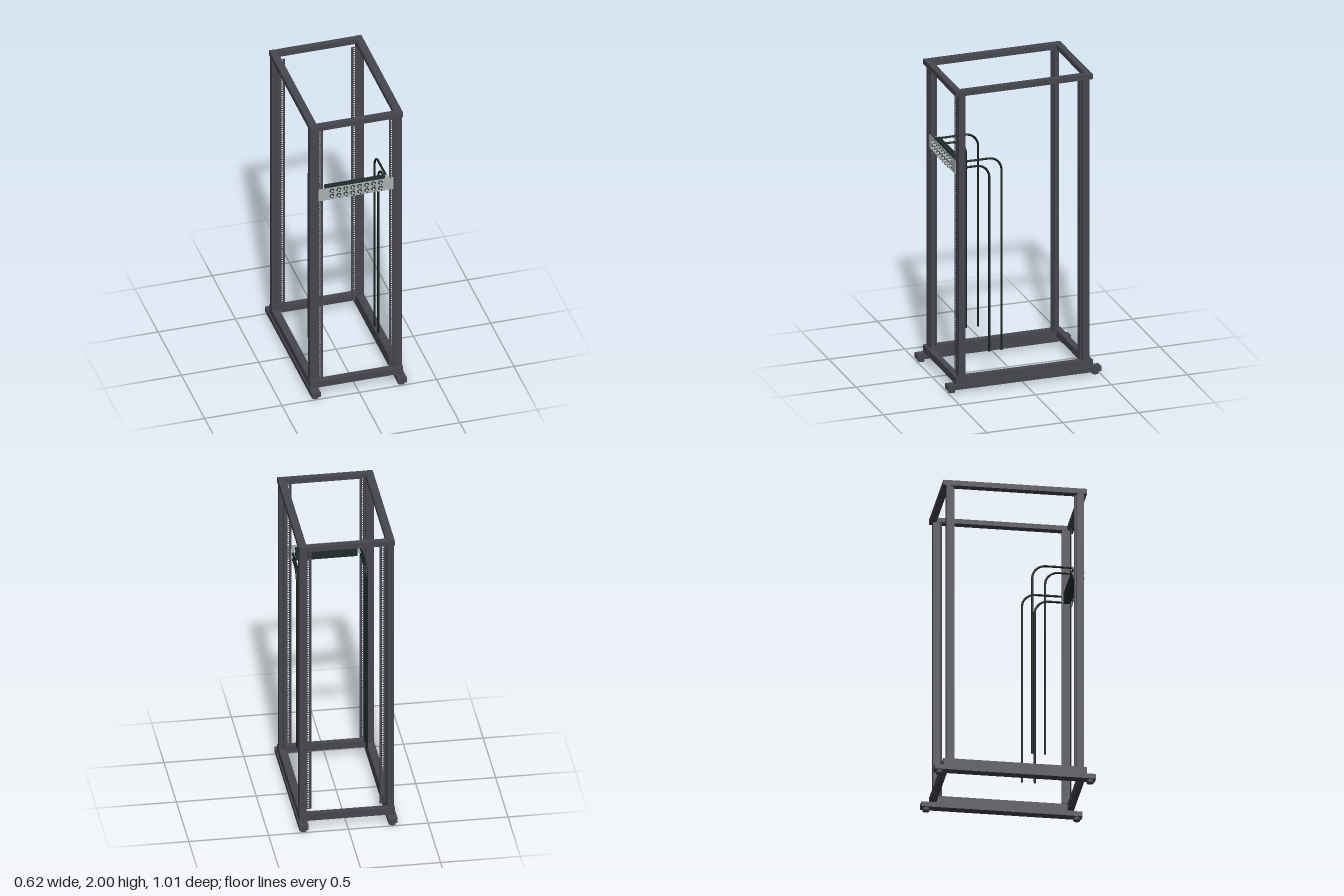
import * as THREE from 'three';

const mat = (name, color) => {
  const m = new THREE.MeshStandardMaterial({ color });
  m.name = name;
  return m;
};

export function createModel() {
  const frame = mat('charcoal frame', 0x47464f);
  const rubber = mat('dark hose', 0x16231f);
  const block = mat('dark manifold', 0x1d2d2b);
  const steel = mat('light steel', 0xaab0b1);
  const rack = new THREE.Group();
  rack.name = 'openRack';

  const add = (name, geo, m, x = 0, y = 0, z = 0) => {
    const mesh = new THREE.Mesh(geo, m);
    mesh.name = name;
    mesh.position.set(x, y, z);
    rack.add(mesh);
    return mesh;
  };
  // box given by its lower and upper corners
  const box = (name, m, x0, x1, y0, y1, z0, z1) =>
    add(name, new THREE.BoxGeometry(x1 - x0, y1 - y0, z1 - z0), m,
      (x0 + x1) / 2, (y0 + y1) / 2, (z0 + z1) / 2);
  // rod running along x or z
  const rod = (name, m, r, len, sides, axis, x, y, z) => {
    const g = new THREE.CylinderGeometry(r, r, len, sides);
    if (axis === 'x') g.rotateZ(Math.PI / 2);
    else g.rotateX(Math.PI / 2);
    return add(name, g, m, x, y, z);
  };
  const rect = (T, x0, x1, y0, y1) => {
    const p = new T();
    p.moveTo(x0, y0);
    p.lineTo(x1, y0);
    p.lineTo(x1, y1);
    p.lineTo(x0, y1);
    p.closePath();
    return p;
  };

  // perforated mounting strip
  const strip = rect(THREE.Shape, -0.019, 0.018, 0.1, 1.965);
  for (let i = 0; i < 117; i++) {
    const y = 0.112 + i * 0.01588;
    strip.holes.push(rect(THREE.Path, -0.0048, 0.0048, y - 0.0048, y + 0.0048));
  }
  const stripGeo = new THREE.ExtrudeGeometry(strip, { depth: 0.002, bevelEnabled: false });

  for (const s of [-1, 1]) {
    const side = (name, a, b, y0, y1, z0, z1) =>
      box(name, frame, Math.min(s * a, s * b), Math.max(s * a, s * b), y0, y1, z0, z1);

    // foot rails and feet
    side('footRail', 0.25, 0.308, 0.02, 0.052, -0.505, 0.505);
    for (const z of [-0.472, 0.472]) {
      add('foot', new THREE.CylinderGeometry(0.022, 0.022, 0.02, 20), frame, s * 0.279, 0.01, z);
    }

    // upper and lower side rails with a stepped inner lip
    side('topSideRail', 0.258, 0.299, 1.966, 2, -0.45, 0.45);
    side('topSideLip', 0.25, 0.258, 1.966, 1.997, -0.45, 0.45);
    side('bottomSideRail', 0.258, 0.299, 0.052, 0.1, -0.45, 0.45);
    side('bottomSideLip', 0.25, 0.258, 0.052, 0.097, -0.45, 0.45);

    // posts with their mounting strips
    for (const [z0, z1, front] of [[0.388, 0.43, 0.428], [-0.43, -0.388, -0.383]]) {
      side('post', 0.258, 0.297, 0.1, 1.966, z0, z1);
      const inner = z0 > 0 ? z0 - 0.012 : z1;
      side('postFlange', 0.25, 0.268, 0.1, 1.966, inner, inner + 0.012);
      side('postLip', 0.251, 0.258, 0.1, 1.966, z0 + 0.008, z1 - 0.002);
      add('mountingStrip', stripGeo, frame, s * 0.2325, 0, front - 0.001);
    }

    // cross beams, front and back
    const z0 = s > 0 ? 0.41 : -0.45;
    box('topCrossBeam', frame, -0.25, 0.25, 1.966, 1.999, z0, z0 + 0.04);
    box('bottomCrossBeam', frame, -0.25, 0.25, 0.053, 0.099, z0, z0 + 0.04);
  }

  // front panel with two rows of round openings
  const panel = rect(THREE.Shape, -0.243, 0.243, 1.43, 1.517);
  const rows = [1.454, 1.494];
  const columns = Array.from({ length: 8 }, (_, i) => (i - 3.5) * 0.045);
  for (const y of rows) {
    for (const x of columns) {
      const hole = new THREE.Path();
      hole.absarc(x, y, 0.0155, 0, Math.PI * 2, true);
      panel.holes.push(hole);
    }
  }
  add('frontPanel', new THREE.ExtrudeGeometry(panel, { depth: 0.003, bevelEnabled: false, curveSegments: 10 }),
    steel, 0, 0, 0.43);

  for (const y of rows) {
    // manifold bar with couplings
    box('manifold', block, -0.193, 0.193, y - 0.018, y + 0.018, 0.378, 0.414);
    for (const x of columns) {
      rod('couplingCollar', block, 0.0135, 0.017, 16, 'z', x, y, 0.4225);
      rod('coupling', steel, 0.008, 0.024, 6, 'z', x, y, 0.443);
      rod('couplingCore', block, 0.0045, 0.002, 12, 'z', x, y, 0.455);
    }

    // elbows and hoses on both sides
    const drop = y > 1.47 ? 0.12 : 0.2;
    const bend = 0.085;
    for (const s of [-1, 1]) {
      const x = s * 0.213;
      rod('fittingStem', steel, 0.006, 0.026, 12, 'x', s * 0.203, y, 0.392);
      box('fittingElbow', steel, x - 0.009, x + 0.009, y - 0.009, y + 0.009, 0.383, 0.402);
      rod('fittingNut', steel, 0.009, 0.014, 6, 'z', x, y, 0.376);
      const path = new THREE.CurvePath();
      const v = (py, pz) => new THREE.Vector3(x, py, pz);
      const k = bend * 0.448;
      path.add(new THREE.LineCurve3(v(y, 0.38), v(y, drop + bend)));
      path.add(new THREE.CubicBezierCurve3(v(y, drop + bend), v(y, drop + k),
        v(y - k, drop), v(y - bend, drop)));
      path.add(new THREE.LineCurve3(v(y - bend, drop), v(0.21, drop)));
      add('hose', new THREE.TubeGeometry(path, 120, 0.007, 10), rubber);
      const cap = add('hoseEnd', new THREE.CircleGeometry(0.007, 10), rubber, x, 0.21, drop);
      cap.rotation.x = Math.PI / 2;
    }
  }
  return rack;
}
